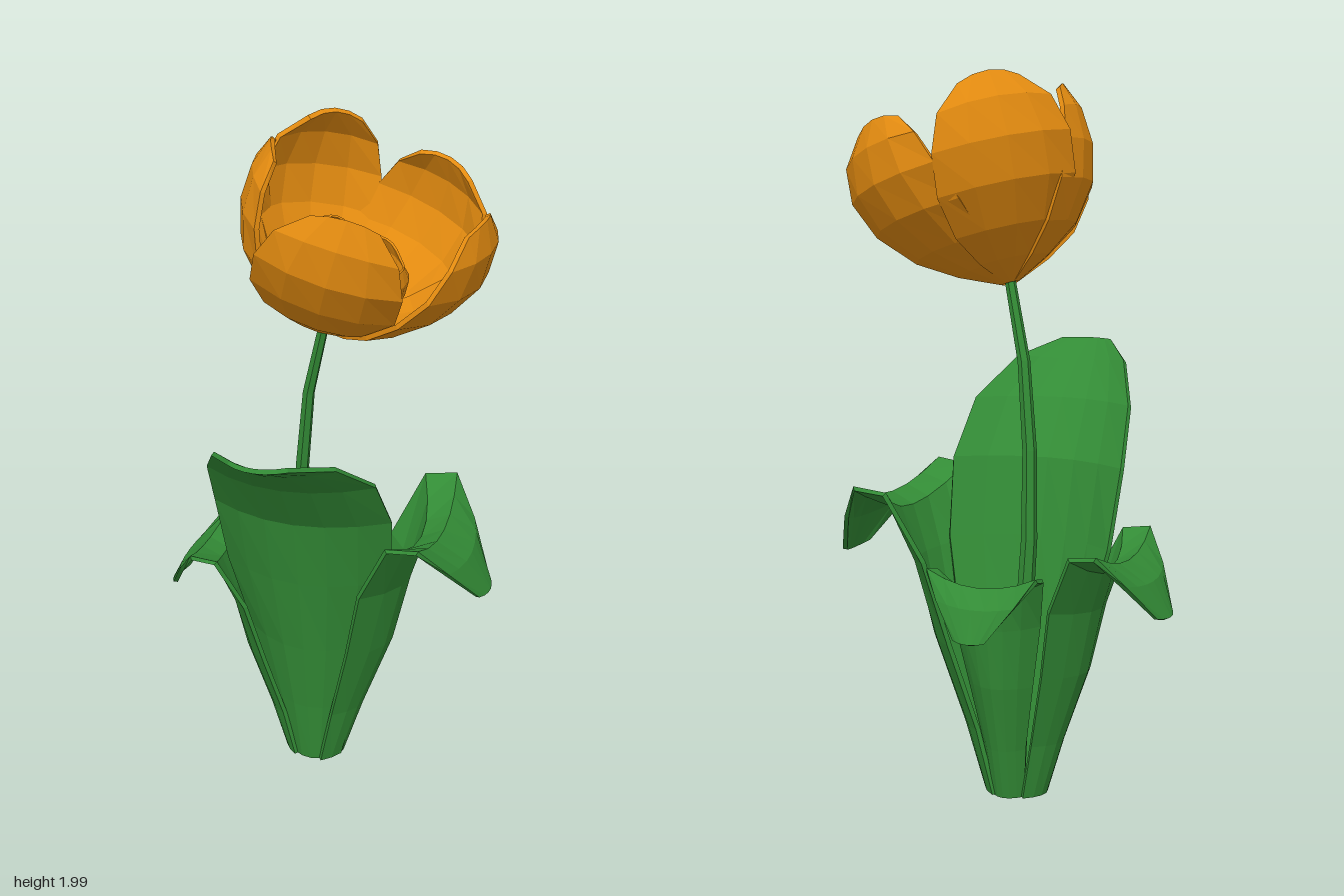
import * as THREE from 'three';

const mat = (color) => new THREE.MeshStandardMaterial({ color, flatShading: true });
const orange = mat(0xe38b10), green = mat(0x338c36), brown = mat(0x6a3020);

function add(parent, name, geometry, material) {
  const mesh = new THREE.Mesh(geometry, material);
  mesh.name = name;
  parent.add(mesh);
  return mesh;
}

// Closed thin sheet: point(row, v) gives its mid surface, v runs from -1 to 1
function sheet(rows, cols, thickness, point) {
  const grid = [];
  for (let i = 0; i < rows; i++) {
    grid.push(Array.from({ length: cols + 1 }, (_, j) => point(i, -1 + (2 * j) / cols)));
  }
  const verts = [], index = [], n = 2 * (cols + 1);
  const at = (i, j) => grid[Math.min(Math.max(i, 0), rows - 1)][Math.min(Math.max(j, 0), cols)];
  const offset = (i, j, d) => {
    const du = at(i + 1, j).clone().sub(at(i - 1, j));
    const dv = at(i, j + 1).clone().sub(at(i, j - 1));
    const p = du.cross(dv).normalize().multiplyScalar(d).add(at(i, j));
    verts.push(p.x, p.y, p.z);
  };
  for (let i = 0; i < rows; i++) {
    for (let j = 0; j <= cols; j++) offset(i, j, thickness / 2);
    for (let j = cols; j >= 0; j--) offset(i, j, -thickness / 2);
  }
  const quad = (a, b, c, d) => index.push(a, b, c, a, c, d);
  for (let i = 0; i < rows - 1; i++) {
    for (let k = 0; k < n; k++) {
      const l = (k + 1) % n;
      quad(i * n + k, (i + 1) * n + k, (i + 1) * n + l, i * n + l);
    }
  }
  const e = (rows - 1) * n;
  for (let j = 0; j < cols; j++) {
    quad(j, j + 1, n - 2 - j, n - 1 - j);
    quad(e + n - 1 - j, e + n - 2 - j, e + j + 1, e + j);
  }
  const geo = new THREE.BufferGeometry();
  geo.setAttribute('position', new THREE.Float32BufferAttribute(verts, 3));
  geo.setIndex(index);
  const flat = geo.toNonIndexed();
  flat.computeVertexNormals();
  return flat;
}

// Leaf rows: [distance out, height, half width, edge pull-in, edge lift]
const TALL = [
  [0.07, 0.01, 0.08, 0.05, 0], [0.1, 0.22, 0.13, 0.07, 0], [0.14, 0.45, 0.19, 0.1, 0],
  [0.19, 0.7, 0.245, 0.1, 0], [0.24, 0.92, 0.26, 0.09, 0], [0.35, 1.08, 0.24, 0.09, 0],
  [0.47, 1.18, 0.17, 0.06, 0.01], [0.57, 1.235, 0.08, 0.03, 0]];
const CURLED = [
  [0.08, 0.01, 0.075, 0.05, 0], [0.14, 0.2, 0.095, 0.07, 0], [0.23, 0.45, 0.15, 0.1, 0],
  [0.28, 0.67, 0.205, 0.1, 0.02], [0.32, 0.8, 0.255, 0.05, 0.08], [0.38, 0.83, 0.26, 0.02, 0.06],
  [0.46, 0.77, 0.18, 0.03, 0.02], [0.52, 0.66, 0.07, 0.02, 0.01]];

// A leaf facing (ox, oz); start, reach, height and width adapt its rows
function leaf(rows, ox, oz, start, reach, height, width) {
  return sheet(rows.length, 6, 0.013, (i, v) => {
    const [r, y, w, cup, lift] = rows[i];
    const d = start + reach * r - width * cup * v * v;
    const s = width * w * v;
    return new THREE.Vector3(
      -0.042 + ox * d - oz * s, height * y + width * lift * v * v, -0.13 + oz * d + ox * s);
  });
}

// Petal rows: [radius, height, half angle in degrees, edge drop]
const PETAL = [[0.02, 0, 50, 0], [0.12, 0.05, 44, 0], [0.22, 0.115, 42, 0], [0.3, 0.21, 38, 0],
  [0.335, 0.31, 33, 0], [0.33, 0.41, 27, 0.01], [0.295, 0.485, 16, 0.02]];
// Each petal: [direction in degrees, how far it opens, height]
const PETALS = [[-127, 1.02, 1.03], [168, 0.9, 0.98], [85, 1.06, 0.96], [11, 1.12, 1], [-61, 1.06, 0.97]];

function corolla(name) {
  const group = new THREE.Group();
  group.name = name;
  for (const [deg, open, height] of PETALS) {
    add(group, 'petal', sheet(PETAL.length, 4, 0.014, (i, v) => {
      const [r, y, half, drop] = PETAL[i];
      const a = THREE.MathUtils.degToRad(deg + half * v);
      const d = r * (1 + (open - 1) * Math.min(1, y * 3)) + (i ? 0.01 * v : 0);
      return new THREE.Vector3(Math.cos(a) * d, height * y - drop * v * v, Math.sin(a) * d);
    }), orange);
  }
  return group;
}

// Six-sided stem, thinner towards the flower
function stem() {
  const curve = new THREE.CatmullRomCurve3([[-0.04, 0.01, -0.13], [-0.075, 0.45, -0.15],
    [-0.095, 0.85, -0.145], [-0.065, 1.22, -0.118], [-0.008, 1.46, -0.09]]
    .map((p) => new THREE.Vector3(...p)));
  const steps = 6, sides = 6;
  const geo = new THREE.TubeGeometry(curve, steps, 0.03, sides);
  const pos = geo.attributes.position, p = new THREE.Vector3();
  for (let k = 0; k < pos.count; k++) {
    const t = Math.floor(k / (sides + 1)) / steps;
    p.fromBufferAttribute(pos, k).lerp(curve.getPointAt(t), 0.5 * t);
    pos.setXYZ(k, p.x, p.y, p.z);
  }
  geo.computeVertexNormals();
  return geo;
}

export function createModel() {
  const model = new THREE.Group();
  model.name = 'flowerPlant';

  // Leaves around the stem
  add(model, 'frontLeaf', leaf(TALL, 0, 1, 0, 1, 1, 1), green);
  add(model, 'leftLeaf', leaf(CURLED, 1, 0, 0, 1, 1, 1), green);
  add(model, 'rightLeaf', leaf(CURLED, -1, 0, 0.025, 0.82, 0.84, 0.83), green);
  add(model, 'backLeaf', leaf(CURLED, 0, -1, 0.035, 0.53, 0.77, 0.62), green);
  add(model, 'stem', stem(), green);

  // Tilted bloom with a small copy of the petals inside
  const bloom = new THREE.Group();
  bloom.name = 'bloom';
  bloom.position.set(-0.01, 1.44, -0.09);
  bloom.quaternion.setFromUnitVectors(new THREE.Vector3(0, 1, 0), new THREE.Vector3(0.3, 1, 0.08).normalize());
  const inner = corolla('innerPetals');
  inner.scale.setScalar(0.49);
  inner.position.y = 0.015;
  bloom.add(corolla('outerPetals'), inner);

  // Stamens
  for (let k = 0; k < 5; k++) {
    const a = (k / 5) * Math.PI * 2 + 0.6;
    const tip = new THREE.Vector3(Math.cos(a) * 0.035, 0.16, Math.sin(a) * 0.035);
    add(bloom, 'filament', new THREE.TubeGeometry(
      new THREE.LineCurve3(new THREE.Vector3(0, 0.02, 0), tip), 1, 0.005, 5), brown);
    add(bloom, 'anther', new THREE.IcosahedronGeometry(0.018, 0), brown).position.copy(tip);
  }
  model.add(bloom);
  return model;
}
